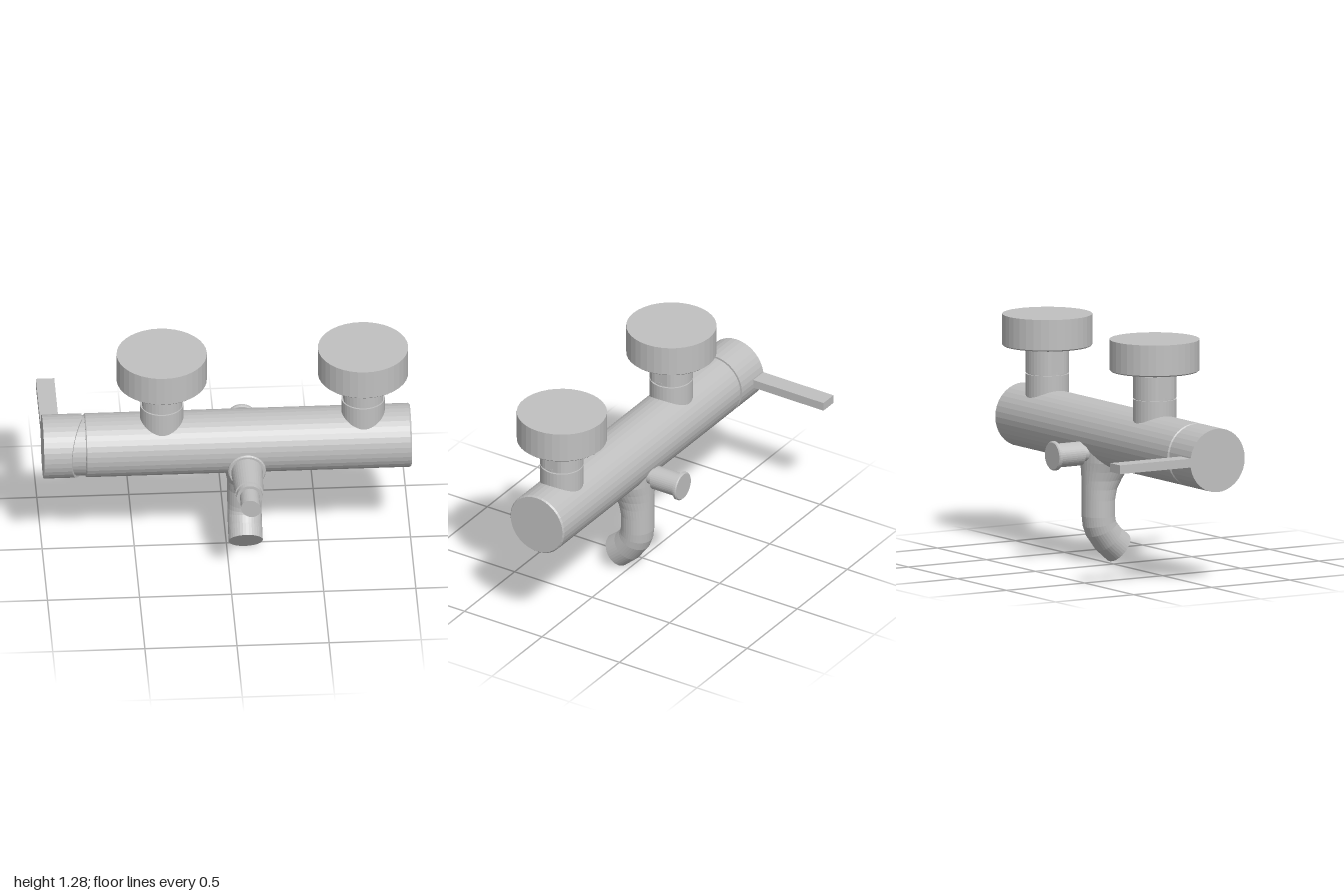
import * as THREE from 'three';

const SIDES = 36;
const AXIS_Y = 0.697, AXIS_Z = 0.037; // centre line of the main body
const OUTLET_X = 0.1, VALVE_Y = 0.61;

const chrome = new THREE.MeshStandardMaterial({ color: 0xc0c0c0 });
chrome.name = 'chrome';

// Faceted mesh from any geometry
function part(name, geometry) {
  const flat = geometry.index ? geometry.toNonIndexed() : geometry;
  flat.computeVertexNormals();
  const mesh = new THREE.Mesh(flat, chrome);
  mesh.name = name;
  return mesh;
}

// Solid of revolution around y from [radius, height] pairs, low to high
function turned(profile, sides = SIDES) {
  const pts = [[0, profile[0][1]], ...profile, [0, profile[profile.length - 1][1]]];
  return new THREE.LatheGeometry(pts.map(([r, h]) => new THREE.Vector2(r, h)), sides);
}
const alongX = (profile) => turned(profile).rotateZ(-Math.PI / 2).translate(0, AXIS_Y, AXIS_Z);
const alongZ = (profile) => turned(profile).rotateX(Math.PI / 2).translate(OUTLET_X, VALVE_Y, 0);

// Move vertices by a rule
function reshape(geometry, rule) {
  const pos = geometry.attributes.position;
  const v = new THREE.Vector3();
  for (let i = 0; i < pos.count; i++) {
    v.fromBufferAttribute(pos, i);
    rule(v);
    pos.setXYZ(i, v.x, v.y, v.z);
  }
  return geometry;
}

// Curved outlet lofted through tilted ellipses: [y, z, tilt in degrees, x radius, depth radius]
function spoutGeometry() {
  const sections = [
    [0.66, 0.02, 0, 0.155, 0.145],
    [0.56, 0.017, 0, 0.147, 0.142],
    [0.51, 0.002, 0, 0.123, 0.127],
    [0.46, -0.014, 0, 0.105, 0.111],
    [0.41, -0.028, 0, 0.096, 0.097],
    [0.35, -0.035, 0, 0.093, 0.09],
    [0.26, -0.035, 0, 0.093, 0.09],
    [0.22, -0.03, 12, 0.093, 0.09],
    [0.187, -0.017, 25, 0.093, 0.09],
    [0.131, 0.026, 45, 0.093, 0.09],
    [0.077, 0.09, 53, 0.093, 0.091],
  ];
  const positions = [], index = [];
  for (const [y, z, tilt, rx, rz] of sections) {
    const a = THREE.MathUtils.degToRad(tilt);
    for (let j = 0; j < SIDES; j++) {
      const t = (j / SIDES) * Math.PI * 2;
      const n = rz * Math.sin(t);
      positions.push(OUTLET_X + rx * Math.cos(t), y + n * Math.sin(a), z + n * Math.cos(a));
    }
  }
  const last = sections.length - 1;
  const centre = sections.length * SIDES;
  positions.push(OUTLET_X, sections[last][0], sections[last][1]);
  for (let j = 0; j < SIDES; j++) {
    const k = (j + 1) % SIDES;
    for (let i = 0; i < last; i++) {
      const a = i * SIDES + j, b = i * SIDES + k;
      index.push(a, b, a + SIDES, b, b + SIDES, a + SIDES);
    }
    index.push(centre, last * SIDES + j, last * SIDES + k);
  }
  const g = new THREE.BufferGeometry();
  g.setAttribute('position', new THREE.Float32BufferAttribute(positions, 3));
  g.setIndex(index);
  return g;
}

// Wall connection: stub, nut with two flats, neck and round cover
function wallConnection(name, x) {
  const group = new THREE.Group();
  group.name = name;
  const nut = reshape(turned([[0.118, 0.96], [0.118, 1.086]]), (v) => {
    v.x = THREE.MathUtils.clamp(v.x, -0.107, 0.107);
  });
  group.add(
    part('stub', turned([[0.118, 0.72], [0.118, 0.953]])),
    part('stubGap', turned([[0.108, 0.94], [0.108, 0.97]])),
    part('nut', nut),
    part('neck', turned([[0.092, 1.08], [0.092, 1.11]])),
    part('cover', turned([[0.18, 1.097], [0.237, 1.106], [0.245, 1.113], [0.245, 1.28]])),
  );
  group.position.set(x, 0, AXIS_Z + 0.003);
  return group;
}

export function createModel() {
  const model = new THREE.Group();
  model.name = 'mixerTap';

  // Main body
  model.add(part('body', alongX([[0.168, -0.772], [0.174, -0.766], [0.174, 0.988], [0.167, 0.997]])));
  model.add(part('handleNeck', alongX([[0.16, -0.9], [0.164, -0.76]])));

  // Handle with its front half cut at a slant
  const handle = reshape(alongX([[0.174, -1], [0.174, -0.785]]), (v) => {
    if (v.x > -0.9) v.x -= Math.max(0, v.z - AXIS_Z) * 0.38;
  });
  model.add(part('handle', handle));
  model.add(part('lever', new THREE.BoxGeometry(0.1, 0.048, 0.5).translate(-0.95, 0.696, -0.338)));

  // Wall connections
  model.add(wallConnection('rightWallConnection', -0.353));
  model.add(wallConnection('leftWallConnection', 0.74));

  // Outlet
  model.add(part('spout', spoutGeometry()));

  // Front hose nozzle with slanted tip
  model.add(part('nozzleCollar', alongZ([[0.103, 0.08], [0.103, 0.212], [0.097, 0.22]])));
  model.add(part('nozzleCone', alongZ([[0.086, 0.21], [0.077, 0.43], [0.07, 0.432], [0.069, 0.46]])));
  const tip = reshape(alongZ([[0.053, 0.44], [0.053, 0.577]]), (v) => {
    if (v.z > 0.5) v.z += (v.x - OUTLET_X) * 0.2;
  });
  model.add(part('nozzleTip', tip));

  // Rear pull knob
  model.add(part('knobStem', alongZ([[0.045, -0.17], [0.045, -0.06]])));
  model.add(part('knob', alongZ([[0.065, -0.315], [0.065, -0.155]])));
  model.add(part('knobDisc', alongZ([[0.074, -0.331], [0.08, -0.325], [0.08, -0.312], [0.072, -0.308]])));

  return model;
}
